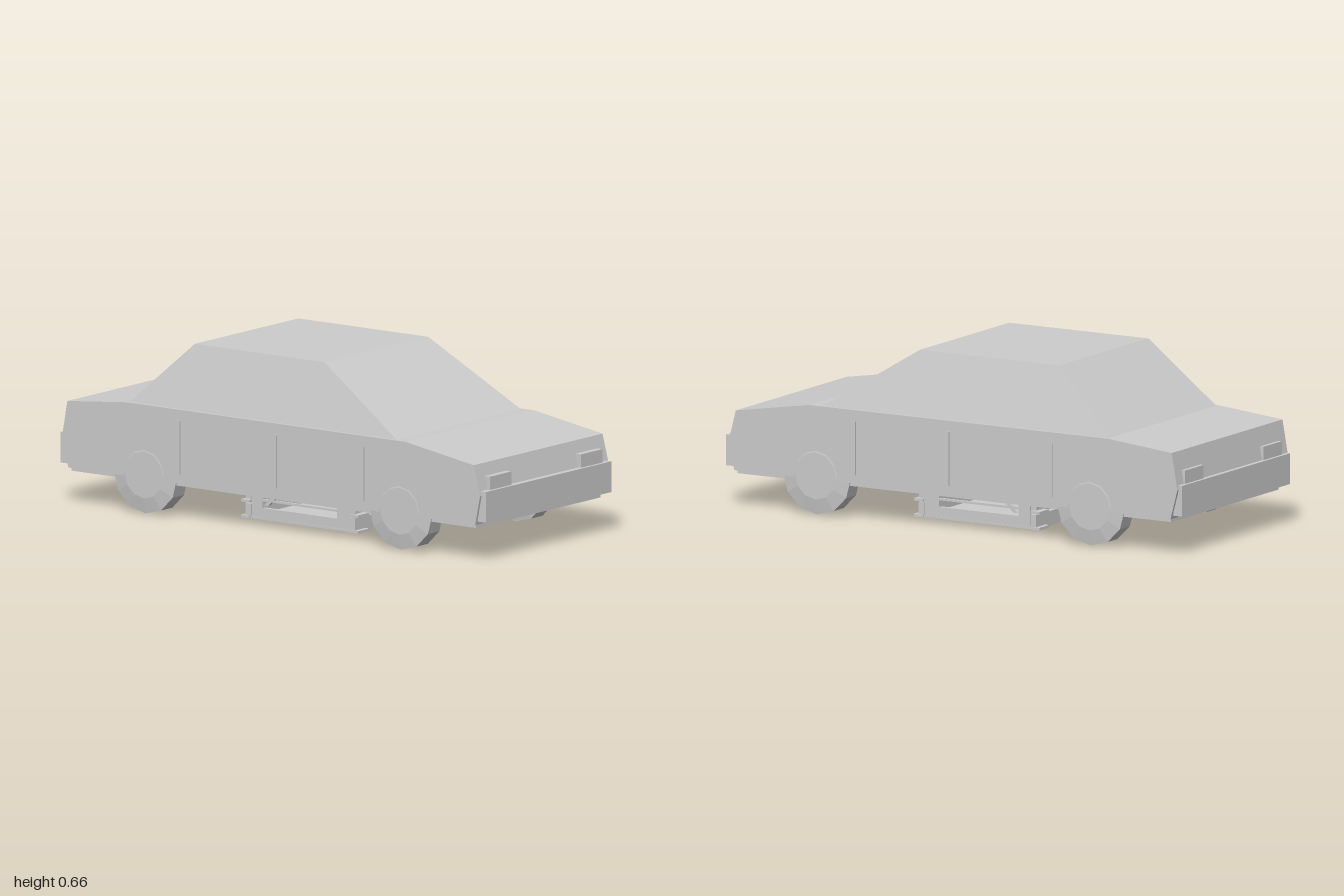
import * as THREE from 'three';

const grey = new THREE.MeshStandardMaterial({ color: 0xcccccc });
grey.name = 'plain grey';

export function createModel() {
  const car = new THREE.Group();
  car.name = 'car';

  function add(name, geometry, parent = car) {
    const flat = geometry.index ? geometry.toNonIndexed() : geometry;
    flat.computeVertexNormals();
    const mesh = new THREE.Mesh(flat, grey);
    mesh.name = name;
    parent.add(mesh);
    return mesh;
  }

  // Box given by its lower and upper limits on each axis
  function box(name, x0, x1, y0, y1, z0, z1, parent) {
    const g = new THREE.BoxGeometry(x1 - x0, y1 - y0, z1 - z0);
    g.translate((x0 + x1) / 2, (y0 + y1) / 2, (z0 + z1) / 2);
    return add(name, g, parent);
  }

  // Shape in the x-y plane, extruded from z0 to z1
  function slab(name, points, z0, z1, parent, hole) {
    const shape = new THREE.Shape(points.map(([x, y]) => new THREE.Vector2(x, y)));
    if (hole) shape.holes.push(new THREE.Path(hole.map(([x, y]) => new THREE.Vector2(x, y))));
    const g = new THREE.ExtrudeGeometry(shape, { depth: z1 - z0, bevelEnabled: false });
    g.translate(0, 0, z0);
    return add(name, g, parent);
  }

  // Lower body and floor
  slab('body', [
    [-0.955, 0.137], [0.957, 0.137], [0.98, 0.25], [0.95, 0.365],
    [0.63, 0.417], [-0.68, 0.417], [-0.96, 0.39], [-0.985, 0.25],
  ], -0.398, 0.398);
  box('floor', -0.95, 0.95, 0.124, 0.14, -0.385, 0.385);

  // Cabin: a box whose top face is drawn in on all sides
  const cabin = new THREE.BoxGeometry(1.26, 0.243, 0.77);
  const p = cabin.attributes.position;
  for (let i = 0; i < p.count; i++) {
    const top = p.getY(i) > 0, front = p.getX(i) > 0, side = Math.sign(p.getZ(i));
    if (top) p.setXYZ(i, front ? 0.19 : -0.42, 0.658, side * 0.32);
    else p.setXYZ(i, front ? 0.58 : -0.68, 0.415, side * 0.385);
  }
  add('cabin', cabin);

  // Bumpers and lamps at both ends
  for (const end of [1, -1]) {
    const across = (name, a, b, ...rest) =>
      box(name, Math.min(a * end, b * end), Math.max(a * end, b * end), ...rest);
    const label = end > 0 ? 'front' : 'rear';
    across(label + 'Bumper', 0.95, 1.0, 0.15, 0.267, -0.388, 0.388);
    for (const s of [1, -1]) {
      across(label + 'Lamp', 0.95, 0.988, 0.267, 0.318, s * 0.281 - 0.067, s * 0.281 + 0.067);
    }
  }

  for (const s of [1, -1]) {
    // Door seams
    for (const x of [-0.435, 0.02, 0.43]) {
      box('doorSeam', x - 0.006, x + 0.006, 0.17, 0.375, s * 0.4 - 0.004, s * 0.4 + 0.004);
    }
    // Twelve-sided wheels with a chamfered tread
    for (const x of [-0.6, 0.6]) {
      const profile = [[0, -0.045], [0.09, -0.045], [0.148, -0.035],
        [0.148, 0.035], [0.09, 0.045], [0, 0.045]];
      const g = new THREE.LatheGeometry(profile.map(([r, y]) => new THREE.Vector2(r, y)), 12);
      g.rotateX(Math.PI / 2);
      const wheel = add('wheel', g);
      wheel.position.set(x, 0.15, s * 0.354);
    }
  }

  // Hollow mounting frame beneath the floor
  const mount = new THREE.Group();
  mount.name = 'mountingFrame';
  car.add(mount);
  box('mountBase', -0.255, 0.255, 0, 0.009, -0.22, 0.22, mount);
  for (const s of [1, -1]) {
    const z = s * 0.21;
    slab('mountSide', [[-0.23, 0.005], [0.25, 0.005], [0.25, 0.125], [-0.23, 0.125]],
      z - 0.008, z + 0.008, mount,
      [[-0.18, 0.045], [-0.18, 0.12], [0.17, 0.12], [0.17, 0.045]]);
    slab('mountBrace', [[-0.175, 0.055], [-0.155, 0.055], [-0.08, 0.124], [-0.105, 0.124]],
      z - 0.006, z + 0.006, mount);
    box('mountRail', -0.18, 0.17, 0.07, 0.078, z - 0.006, z + 0.006, mount);

    const x = s * 0.245;
    box('mountEnd', x - 0.012, x + 0.012, 0.005, 0.056, -0.22, 0.22, mount);
    box('mountEndUpper', x - 0.012, x + 0.012, 0.073, 0.125, -0.217, 0.217, mount);
    box('mountEndInner', x - s * 0.014 - 0.004, x - s * 0.014 + 0.004, 0.05, 0.08, -0.21, 0.21, mount);
    // Tabs sticking out from the ends
    for (const y of [0.005, 0.065, 0.12]) {
      for (const tz of [-0.19, 0, 0.19]) {
        const half = tz ? 0.035 : 0.04;
        box('mountTab', s * 0.255 - 0.02, s * 0.255 + 0.02, y - 0.005, y + 0.005,
          tz - half, tz + half, mount);
      }
    }
  }
  return car;
}
